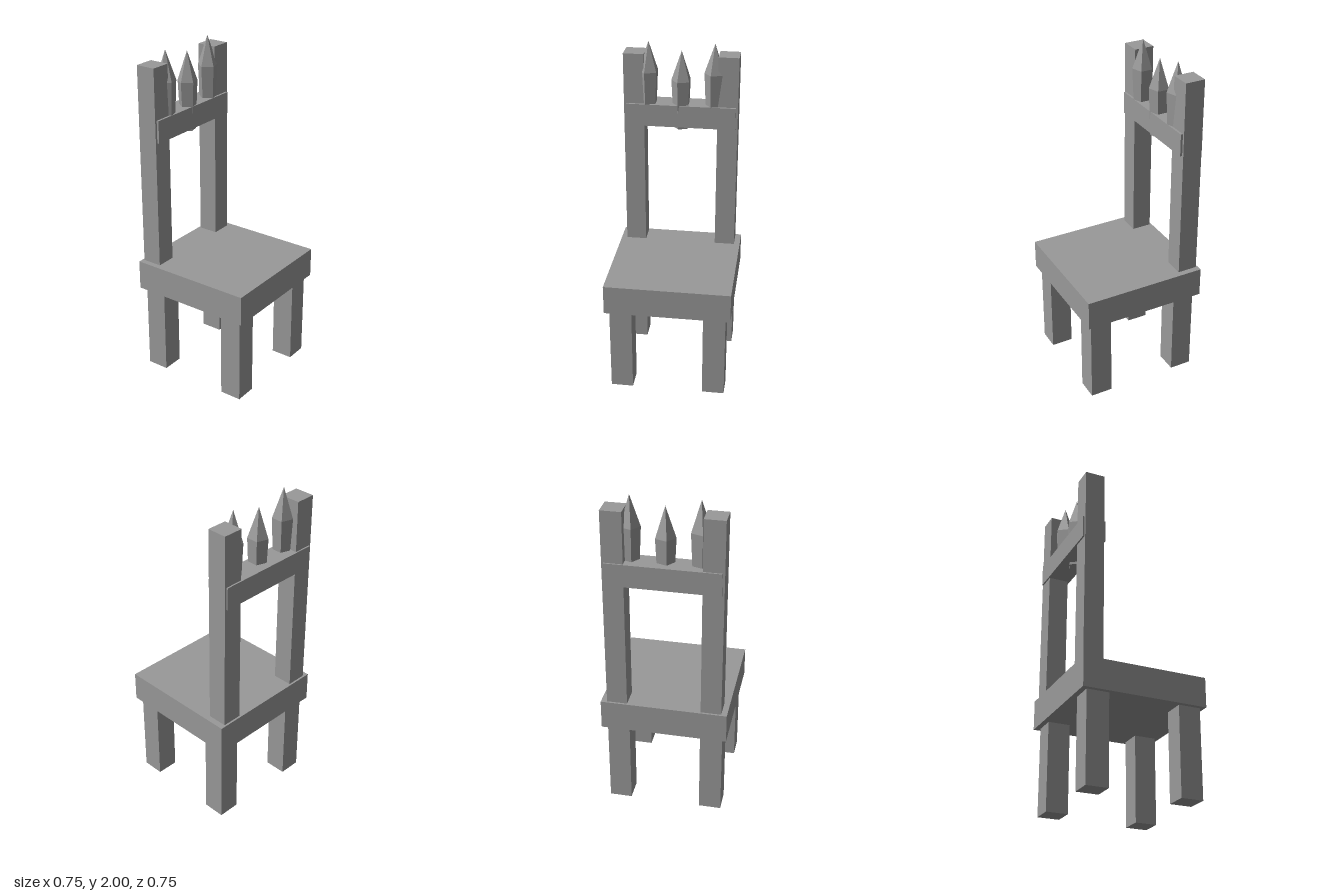
import * as THREE from 'three';

export function createModel() {
  const group = new THREE.Group();
  const grey = new THREE.MeshStandardMaterial({ color: 0x999999, flatShading: true });
  grey.name = 'grey';

  function add(name, geometry, x, y, z, parent = group) {
    const mesh = new THREE.Mesh(geometry, grey);
    mesh.name = name;
    mesh.position.set(x, y, z);
    parent.add(mesh);
    return mesh;
  }

  // Box given by its lower and upper limits on each axis
  function addBox(name, [x0, x1], [y0, y1], [z0, z1]) {
    return add(name, new THREE.BoxGeometry(x1 - x0, y1 - y0, z1 - z0),
      (x0 + x1) / 2, (y0 + y1) / 2, (z0 + z1) / 2);
  }

  // Seat slab
  addBox('seat', [-0.375, 0.375], [0.535, 0.715], [-0.377, 0.375]);

  // Legs and back posts, mirrored left and right
  for (const [side, s] of [['left', 1], ['right', -1]]) {
    const legX = s > 0 ? [0.212, 0.345] : [-0.348, -0.215];
    addBox(side + 'FrontLeg', legX, [0, 0.535], [0.215, 0.348]);
    addBox(side + 'BackLeg', legX, [0, 0.535], [-0.345, -0.212]);
    const postX = s > 0 ? [0.218, 0.339] : [-0.341, -0.22];
    addBox(side + 'BackPost', postX, [0.715, 1.93], [-0.365, -0.245]);
  }

  // Cross rail at the top of the back
  addBox('backRail', [-0.328, 0.327], [1.49, 1.625], [-0.374, -0.232]);

  // Five-sided spikes standing through the rail
  function addSpike(name, x, tipY) {
    const spike = new THREE.Group();
    spike.name = name;
    spike.position.set(x, tipY, -0.281);
    const start = -Math.PI / 2;
    add('spikeShaft', new THREE.CylinderGeometry(0.061, 0.047, 0.295, 5, 1, false, start), 0, -0.3275, 0, spike);
    add('spikeTip', new THREE.CylinderGeometry(0, 0.061, 0.18, 5, 1, true, start), 0, -0.09, 0, spike);
    group.add(spike);
  }
  addSpike('rightSpike', -0.195, 2);
  addSpike('middleSpike', 0, 1.95);
  addSpike('leftSpike', 0.195, 2);

  return group;
}
